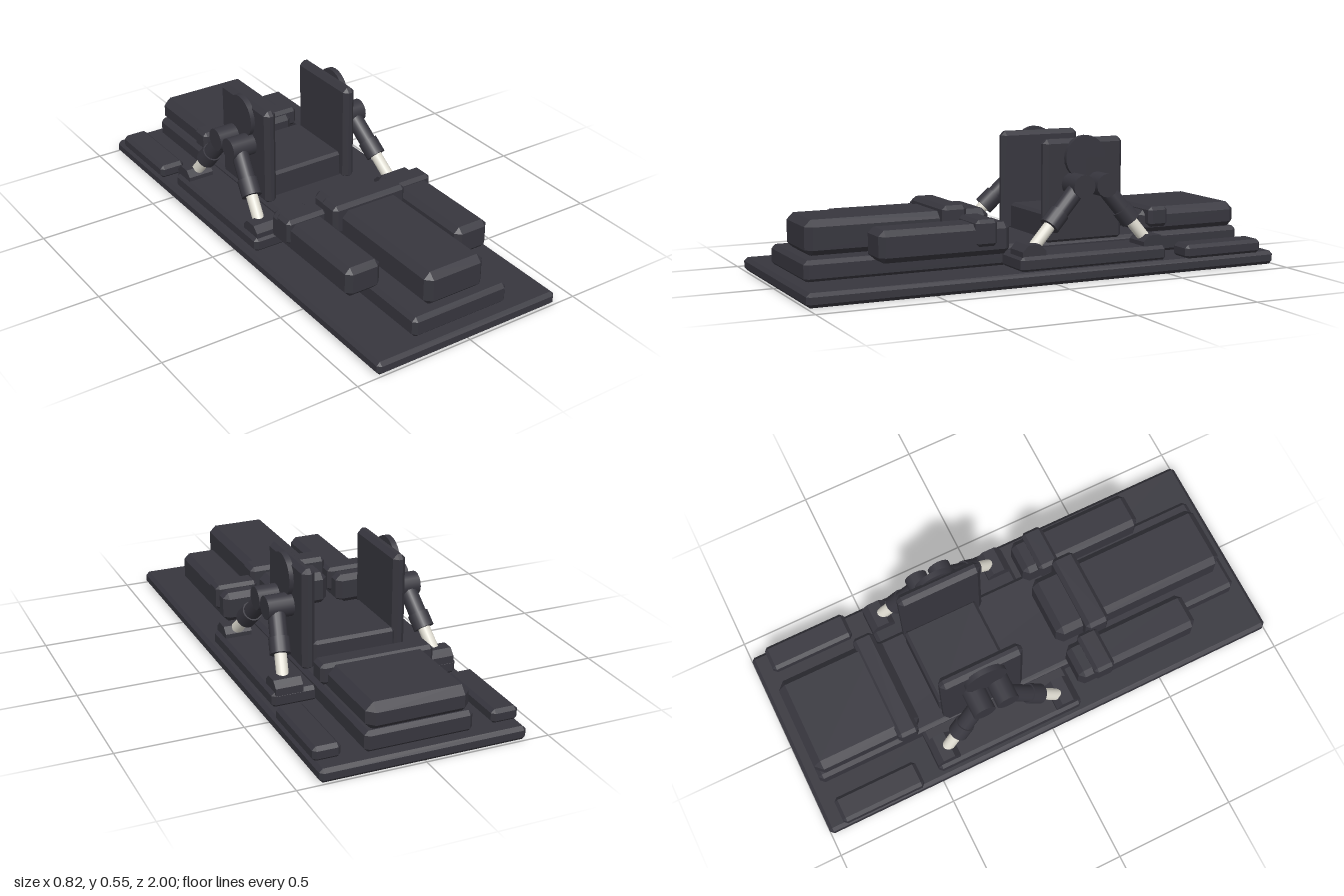
import * as THREE from 'three';
import { ConvexGeometry } from 'three/addons/geometries/ConvexGeometry.js';

const dark = new THREE.MeshStandardMaterial({ color: 0x37363e });
dark.name = 'charcoal';
const pale = new THREE.MeshStandardMaterial({ color: 0xdedbd0 });
pale.name = 'ivory';

function add(group, name, geometry, material = dark) {
  const mesh = new THREE.Mesh(geometry, material);
  mesh.name = name;
  group.add(mesh);
  return mesh;
}

// Box with flat chamfers, given by its limits on each axis
function block(group, name, [x0, x1], [y0, y1], [z0, z1], b) {
  const h = [(x1 - x0) / 2, (y1 - y0) / 2, (z1 - z0) / 2];
  const points = [];
  for (const sx of [-1, 1]) for (const sy of [-1, 1]) for (const sz of [-1, 1]) {
    for (let full = 0; full < 3; full++) {
      const [x, y, z] = h.map((v, i) => (i === full ? v : v - b));
      points.push(new THREE.Vector3(sx * x, sy * y, sz * z));
    }
  }
  const mesh = add(group, name, new ConvexGeometry(points));
  mesh.position.set((x0 + x1) / 2, (y0 + y1) / 2, (z0 + z1) / 2);
}

// Cylinder between two points
function rod(group, name, a, b, radius, material = dark, sides = 16) {
  const mesh = add(group, name, new THREE.CylinderGeometry(radius, radius, a.distanceTo(b), sides), material);
  mesh.position.copy(a).add(b).multiplyScalar(0.5);
  mesh.quaternion.setFromUnitVectors(new THREE.Vector3(0, 1, 0), b.clone().sub(a).normalize());
}

// Foot with sloped front and back, extruded along x
function foot(group, side, z) {
  const s = new THREE.Shape();
  [[-0.05, 0.1], [0.05, 0.1], [0.05, 0.13], [0.025, 0.155], [-0.025, 0.155], [-0.05, 0.13]]
    .forEach(([u, v], i) => (i ? s.lineTo(u, v) : s.moveTo(u, v)));
  const g = new THREE.ExtrudeGeometry(s, { depth: 0.11, bevelEnabled: false });
  g.translate(0, 0, -0.055).rotateY(Math.PI / 2);
  add(group, 'foot', g).position.set(side * 0.317, 0, z);
}

// Shoulder joint, sleeve, collar and piston of one strut
function strut(group, side, shoulderZ, endZ) {
  const top = new THREE.Vector3(side * 0.275, 0.357, shoulderZ);
  const end = new THREE.Vector3(side * 0.318, 0.135, endZ);
  const at = (t) => top.clone().lerp(end, t);
  rod(group, 'shoulderJoint', new THREE.Vector3(side * 0.213, 0.357, shoulderZ),
    new THREE.Vector3(side * 0.32, 0.357, shoulderZ), 0.047);
  rod(group, 'strutSleeve', top, at(0.5), 0.035);
  rod(group, 'strutCollar', at(0.44), at(0.66), 0.041);
  rod(group, 'piston', at(0.6), end, 0.024, pale);
}

export function createModel() {
  const model = new THREE.Group();
  model.name = 'platformVehicle';

  // Deck and raised spine
  block(model, 'basePlate', [-0.41, 0.41], [0, 0.055], [-1, 1], 0.014);
  block(model, 'spineSlab', [-0.215, 0.215], [0.05, 0.135], [-0.95, 0.945], 0.016);

  // Front body and its strap
  block(model, 'frontBody', [-0.133, 0.133], [0.13, 0.27], [0.158, 0.91], 0.026);
  block(model, 'frontStrap', [-0.168, 0.168], [0.17, 0.295], [0.27, 0.372], 0.016);

  // Rear body and its strap
  block(model, 'rearBody', [-0.205, 0.205], [0.125, 0.235], [-0.948, -0.492], 0.03);
  block(model, 'rearStrap', [-0.232, 0.232], [0.16, 0.243], [-0.6, -0.512], 0.014);

  // Seat between the two upright panels
  block(model, 'seat', [-0.17, 0.17], [0.12, 0.24], [-0.395, -0.075], 0.012);

  for (const side of [1, -1]) {
    const name = side > 0 ? 'leftSide' : 'rightSide';
    const group = new THREE.Group();
    group.name = name;
    model.add(group);
    const xs = (a, b) => (side > 0 ? [a, b] : [-b, -a]);

    // Front pod with collar
    block(group, 'sidePod', xs(0.175, 0.328), [0.12, 0.243], [0.16, 0.692], 0.022);
    block(group, 'podCollar', xs(0.16, 0.34), [0.155, 0.26], [0.22, 0.31], 0.014);

    // Low rear box and rail under the struts
    block(group, 'rearSideBox', xs(0.3, 0.409), [0.05, 0.108], [-0.935, -0.578], 0.014);
    block(group, 'strutRail', xs(0.2, 0.385), [0.05, 0.113], [-0.5, 0.143], 0.014);

    // Upright panel with hub disc
    block(group, 'uprightPanel', xs(0.163, 0.215), [0.12, 0.537], [-0.393, -0.04], 0.018);
    rod(group, 'hubDisc', new THREE.Vector3(side * 0.21, 0.462, -0.213),
      new THREE.Vector3(side * 0.233, 0.462, -0.213), 0.088, dark, 24);

    // Splayed struts and feet
    strut(group, side, -0.162, 0.062);
    strut(group, side, -0.264, -0.437);
    foot(group, side, 0.083);
    foot(group, side, -0.45);
  }
  return model;
}
